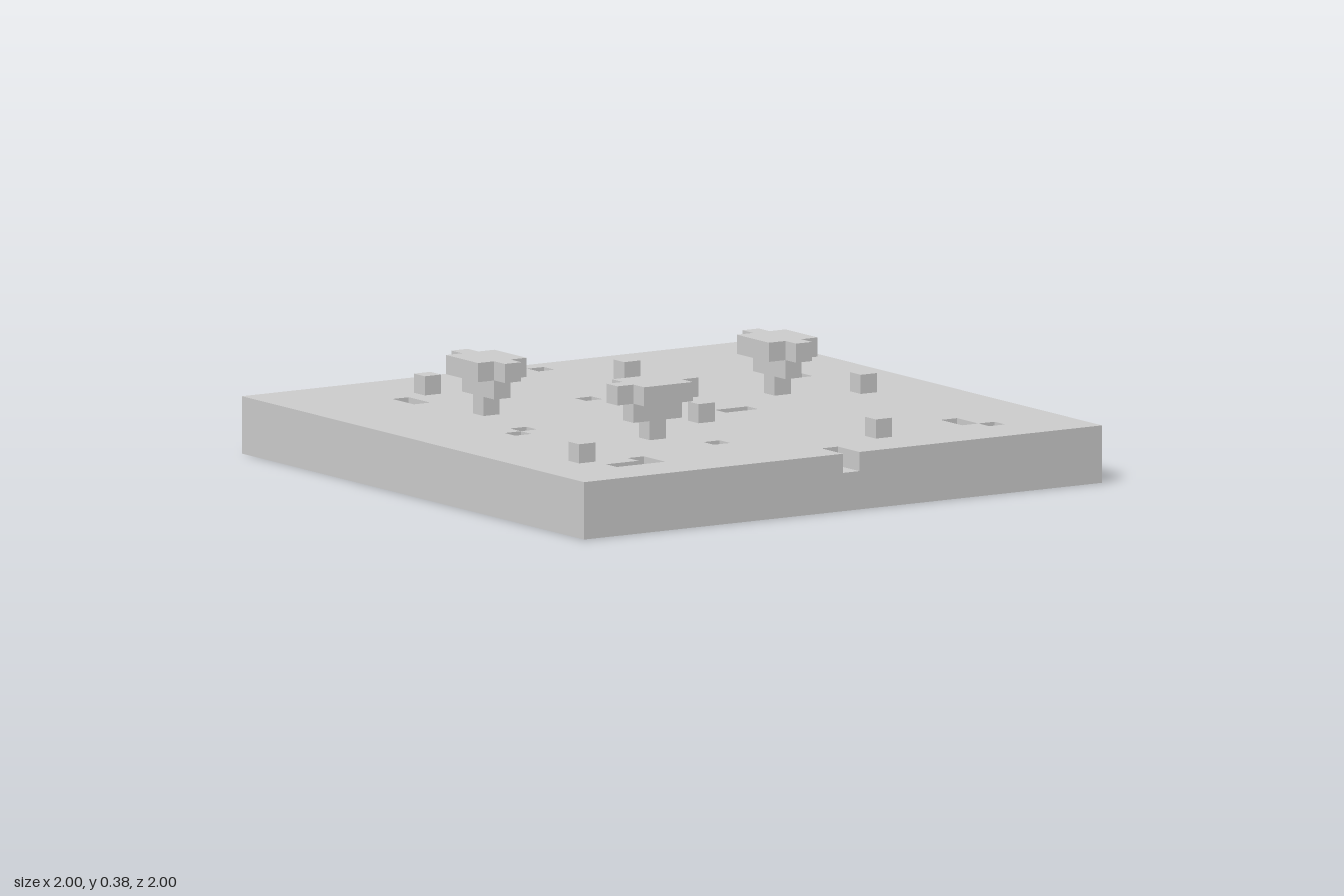
import * as THREE from 'three';
import { mergeGeometries } from 'three/addons/utils/BufferGeometryUtils.js';

const N = 32;        // cells along each side
const C = 2 / N;     // cell size
const key = (i, j, k) => `${i},${j},${k}`;

// Cells are [column (x), layer (y), row (z)]
function block(i0, i1, j0, j1, k0, k1) {
  const cells = [];
  for (let i = i0; i <= i1; i++)
    for (let j = j0; j <= j1; j++)
      for (let k = k0; k <= k1; k++) cells.push([i, j, k]);
  return cells;
}

// Outward unit faces: neighbour direction and the rotation of a +z plane
const H = Math.PI / 2;
const FACES = [
  [1, 0, 0, 0, H], [-1, 0, 0, 0, -H],
  [0, 1, 0, -H, 0], [0, -1, 0, H, 0],
  [0, 0, 1, 0, 0], [0, 0, -1, 0, Math.PI],
].map(([x, y, z, rx, ry]) => ({
  x, y, z,
  plane: new THREE.PlaneGeometry(C, C).rotateX(rx).rotateY(ry).translate(x * C / 2, y * C / 2, z * C / 2),
}));

// Only faces with no neighbouring cell are built
function cellGeometry(cells, filled) {
  const faces = [];
  for (const [i, j, k] of cells)
    for (const f of FACES)
      if (!filled.has(key(i + f.x, j + f.y, k + f.z)))
        faces.push(f.plane.clone().translate((i + 0.5) * C - 1, (j + 0.5) * C, (k + 0.5) * C - 1));
  return mergeGeometries(faces);
}

// One-cell-deep pits in the ground: [column, row]
const PITS = [
  [16, 0], [17, 1], [6, 5], [6, 6], [14, 10], [27, 10], [6, 16], [5, 17],
  [18, 17], [19, 17], [12, 25], [6, 27], [4, 28], [5, 28], [6, 28],
  [26, 26], [26, 27], [27, 28], [16, 30], [16, 31],
];

// Single raised cubes: [column, row]
const CUBES = [[8, 4], [19, 6], [27, 16], [15, 19], [3, 26], [20, 28]];

// Trees: [column, row, long axis]
const TREES = [[7, 11, 'z'], [23, 14, 'z'], [10, 22, 'x']];

export function createModel() {
  const model = new THREE.Group();
  model.name = 'terrain';
  const material = new THREE.MeshStandardMaterial({ color: 0xcccccc, flatShading: true });
  const parts = [];

  // Ground slab, three layers, less the pits
  const pits = new Set(PITS.map(([i, k]) => key(i, 2, k)));
  parts.push(['ground', block(0, N - 1, 0, 2, 0, N - 1).filter((c) => !pits.has(key(...c)))]);

  // Loose cubes on the ground
  CUBES.forEach(([i, k], n) => parts.push([`groundCube${n + 1}`, [[i, 3, k]]]));

  // Trees: trunk, a narrow lower row and a wide top with a tip at each end
  TREES.forEach(([i, k, axis], n) => {
    const dx = axis === 'x' ? 1 : 0, dz = 1 - dx;
    parts.push([`treeTrunk${n + 1}`, [[i, 3, k]]]);
    parts.push([`treeCrown${n + 1}`, [
      ...block(i - dx, i + dx, 4, 4, k - dz, k + dz),
      ...block(i - 1, i + 1, 5, 5, k - 1, k + 1),
      [i - 2 * dx, 5, k - 2 * dz], [i + 2 * dx, 5, k + 2 * dz],
    ]]);
  });

  const filled = new Set(parts.flatMap(([, cells]) => cells.map((c) => key(...c))));
  for (const [name, cells] of parts) {
    const mesh = new THREE.Mesh(cellGeometry(cells, filled), material);
    mesh.name = name;
    model.add(mesh);
  }
  return model;
}
